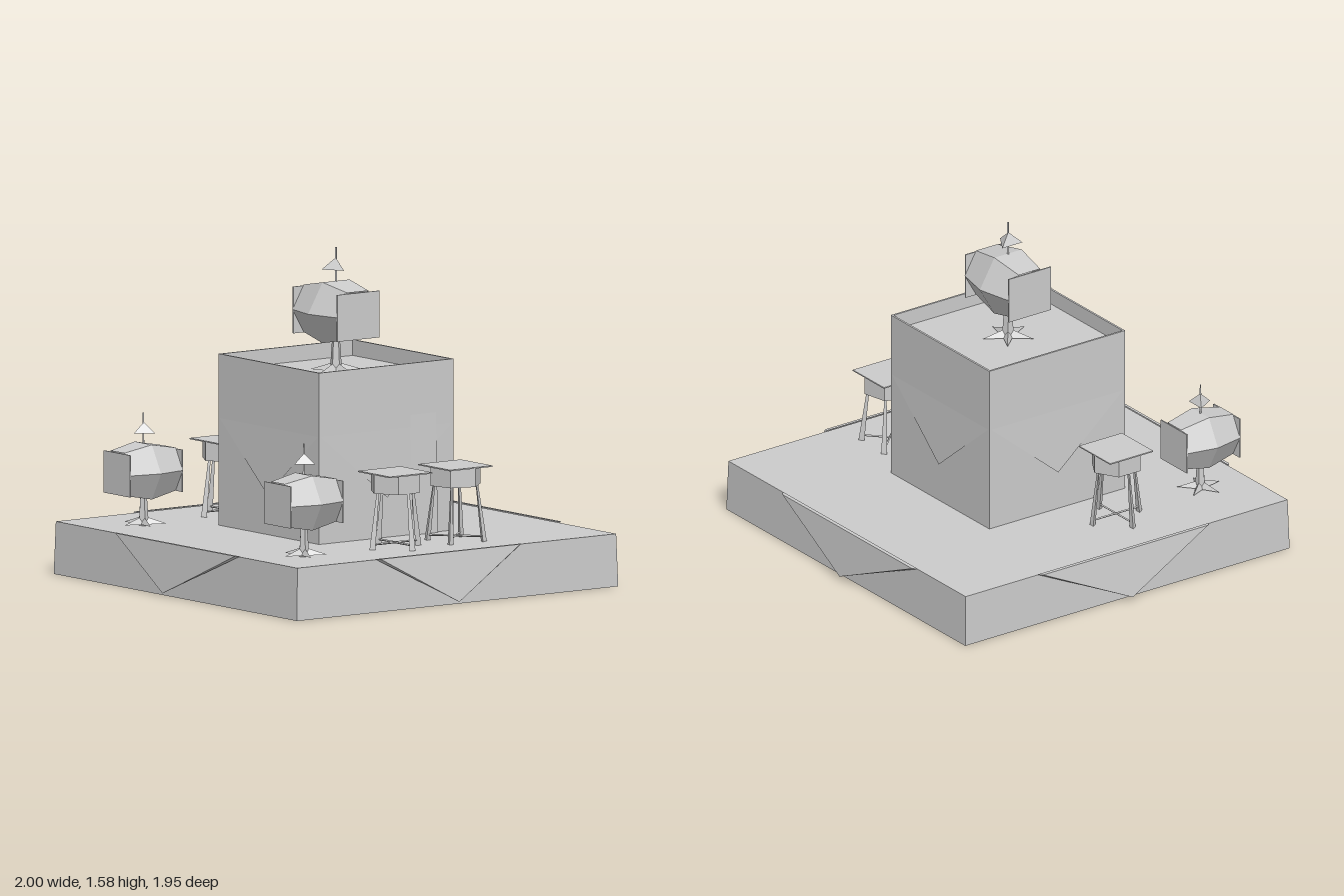
import * as THREE from 'three';

const mat = new THREE.MeshStandardMaterial({ color: 0xcccccc, flatShading: true, side: THREE.DoubleSide });

function add(parent, geo, name, x = 0, y = 0, z = 0) {
  const mesh = new THREE.Mesh(geo, mat);
  mesh.name = name;
  mesh.position.set(x, y, z);
  parent.add(mesh);
  return mesh;
}

function triangles(points) {
  const g = new THREE.BufferGeometry();
  g.setAttribute('position', new THREE.Float32BufferAttribute(points.flat(), 3));
  g.computeVertexNormals();
  return g;
}

// Square tube with open ends, slightly tapered
function squareTube(bx, bz, tx, tz, h) {
  const g = new THREE.CylinderGeometry(Math.SQRT1_2, Math.SQRT1_2, h, 4, 1, true).rotateY(Math.PI / 4);
  const p = g.attributes.position;
  for (let i = 0; i < p.count; i++) {
    const top = p.getY(i) > 0;
    p.setX(i, Math.sign(p.getX(i)) * (top ? tx : bx));
    p.setZ(i, Math.sign(p.getZ(i)) * (top ? tz : bz));
  }
  return g.translate(0, h / 2, 0);
}

// Tapered square bar between two points
function bar(parent, name, a, b, ra, rb, sides = 4) {
  const from = new THREE.Vector3(...a), to = new THREE.Vector3(...b);
  const dir = to.clone().sub(from);
  const mesh = add(parent, new THREE.CylinderGeometry(rb, ra, dir.length(), sides), name);
  mesh.position.copy(from).addScaledVector(dir, 0.5);
  mesh.quaternion.setFromUnitVectors(new THREE.Vector3(0, 1, 0), dir.normalize());
}

// Six-sided barrel lying along z, bulging at the middle
function barrelGeometry(length) {
  const rings = [[-length / 2, 0.78], [0, 1], [length / 2, 0.78]];
  const corners = [[0.14, 0], [0.068, 0.13], [-0.068, 0.13], [-0.14, 0], [-0.068, -0.13], [0.068, -0.13]];
  const pts = [];
  for (let r = 0; r < 2; r++) {
    for (let i = 0; i < 6; i++) {
      const v = (ring, k) => [corners[k % 6][0] * ring[1], corners[k % 6][1] * ring[1], ring[0]];
      const a = v(rings[r], i), b = v(rings[r], i + 1), c = v(rings[r + 1], i + 1), d = v(rings[r + 1], i);
      pts.push(a, b, c, a, c, d);
    }
  }
  return triangles(pts);
}

// Barrel on a star-footed stand with a pennant-like finial
function barrelStand(name) {
  const g = new THREE.Group();
  g.name = name;
  const cy = 0.26;
  add(g, barrelGeometry(0.305), 'barrel', 0, cy, 0);
  for (const s of [-1, 1]) add(g, new THREE.BoxGeometry(0.21, 0.2, 0.006), 'barrelEnd', 0, cy - 0.003, s * 0.153);
  add(g, new THREE.CylinderGeometry(0.017, 0.026, 0.14, 5), 'standPost', 0, 0.07, 0);
  // Star foot: five pointed ridges
  const foot = [];
  for (let i = 0; i < 5; i++) {
    const at = (r, a, y) => [r * Math.sin(a), y, r * Math.cos(a)];
    const a = i * Math.PI * 2 / 5, w = Math.PI / 5;
    const tip = at(0.11, a, 0.008), l = at(0.03, a - w, 0.006), r = at(0.03, a + w, 0.006), c = [0, 0.045, 0];
    foot.push(c, l, tip, c, tip, r);
  }
  add(g, triangles(foot), 'starFoot');
  // Finial
  add(g, new THREE.CylinderGeometry(0.004, 0.006, 0.16, 4), 'finialPole', 0, 0.455, 0);
  add(g, new THREE.ConeGeometry(0.058, 0.05, 3), 'finialCone', 0, 0.465, -0.002);
  return g;
}

// Square-topped table with a six-sided body and four splayed legs
function table(name) {
  const g = new THREE.Group();
  g.name = name;
  add(g, new THREE.BoxGeometry(0.25, 0.006, 0.25), 'tableTop', 0, 0.358, 0);
  add(g, new THREE.CylinderGeometry(0.125, 0.125, 0.09, 6), 'tableBody', 0, 0.312, 0);
  for (let i = 0; i < 4; i++) {
    const a = i * Math.PI / 2, s = Math.sin(a), c = Math.cos(a);
    bar(g, 'tableLeg', [s * 0.135, 0, c * 0.135], [s * 0.1, 0.29, c * 0.1], 0.016, 0.006, 3);
    bar(g, 'tableStretcher', [0, 0.025, 0], [s * 0.132, 0.025, c * 0.132], 0.005, 0.005);
  }
  return g;
}

// Hanging cloth corner: the top edge from a to b, its tip, in side-local coordinates
function clothCorner(a, b, tip, wall, outTop, outTip, top, low) {
  const A = [a, top, outTop], B = [b, top, outTop], T = [tip, low, outTip];
  const A0 = [a - 0.02, top, wall], B0 = [b + 0.02, top, wall];
  return triangles([A, T, B, A0, A, B, A0, B, B0, A0, T, A, B, T, B0]);
}

export function createModel() {
  const model = new THREE.Group();
  model.name = 'displayPlatform';

  // Hollow platform, open below
  const base = new THREE.Group();
  base.name = 'platform';
  model.add(base);
  add(base, squareTube(0.957, 0.943, 0.95, 0.936, 0.25), 'platformWalls');
  add(base, new THREE.PlaneGeometry(1.9, 1.872).rotateX(-Math.PI / 2), 'platformTop', 0, 0.25, 0);

  // Cloth corners over the platform sides: turn, edge ends, tip, wall, top and tip offsets
  const drapes = [
    [0, -0.46, 0.48, -0.06, 0.937, 0.952, 0.974],
    [Math.PI / 2, -0.46, 0.36, -0.02, 0.951, 0.968, 0.998],
    [Math.PI, -0.49, 0.55, 0, 0.937, 0.957, 0.98],
    [-Math.PI / 2, -0.5, 0.46, 0, 0.951, 0.97, 1]
  ];
  for (const [turn, a, b, tip, wall, outTop, outTip] of drapes) {
    add(base, clothCorner(a, b, tip, wall, outTop, outTip, 0.253, 0.015), 'platformCloth').rotation.y = turn;
  }

  // Tower with thin walls and a sunken roof
  const tower = new THREE.Group();
  tower.name = 'tower';
  model.add(tower);
  const w = 0.395, t = 0.01, floorY = 0.99;
  const wall = new THREE.Shape([[-w, -w], [w, -w], [w, w], [-w, w]].map(p => new THREE.Vector2(...p)));
  const i = w - t;
  wall.holes.push(new THREE.Path([[-i, -i], [-i, i], [i, i], [i, -i]].map(p => new THREE.Vector2(...p))));
  add(tower, new THREE.ExtrudeGeometry(wall, { depth: 0.825, bevelEnabled: false }).rotateX(-Math.PI / 2), 'towerWalls', 0, 0.24, 0);
  add(tower, new THREE.PlaneGeometry(2 * i, 2 * i).rotateX(-Math.PI / 2), 'towerRoof', 0, floorY, 0);
  for (let k = 0; k < 4; k++) {
    add(tower, triangles([[-0.385, 0.76, w], [0, 0.44, w + 0.008], [0.385, 0.76, w]]), 'towerCloth').rotation.y = k * Math.PI / 2;
  }
  // Narrow panel leaning on the tower's left side
  add(tower, triangles([
    [0.414, 0.25, -0.14], [0.414, 0.25, -0.29], [0.397, 0.82, -0.29],
    [0.414, 0.25, -0.14], [0.397, 0.82, -0.29], [0.397, 0.82, -0.14]
  ]), 'sidePanel');

  // Barrels on stands
  for (const x of [-0.605, 0.657]) {
    const b = barrelStand('frontBarrel');
    b.position.set(x, 0.25, 0.68);
    model.add(b);
  }
  const topBarrel = barrelStand('roofBarrel');
  topBarrel.position.set(0, floorY, 0);
  topBarrel.rotation.y = Math.PI / 2;
  topBarrel.scale.set(1.17, 1.11, 1.13);
  model.add(topBarrel);

  // Tables
  for (const [x, z, turn] of [[-0.645, 0.16, 0], [0.687, 0.165, 0], [0.678, -0.195, 0.75]]) {
    const tb = table('table');
    tb.position.set(x, 0.25, z);
    tb.children.forEach(c => { if (c.name === 'tableTop') c.rotation.y = -turn; });
    tb.rotation.y = turn;
    model.add(tb);
  }
  return model;
}
